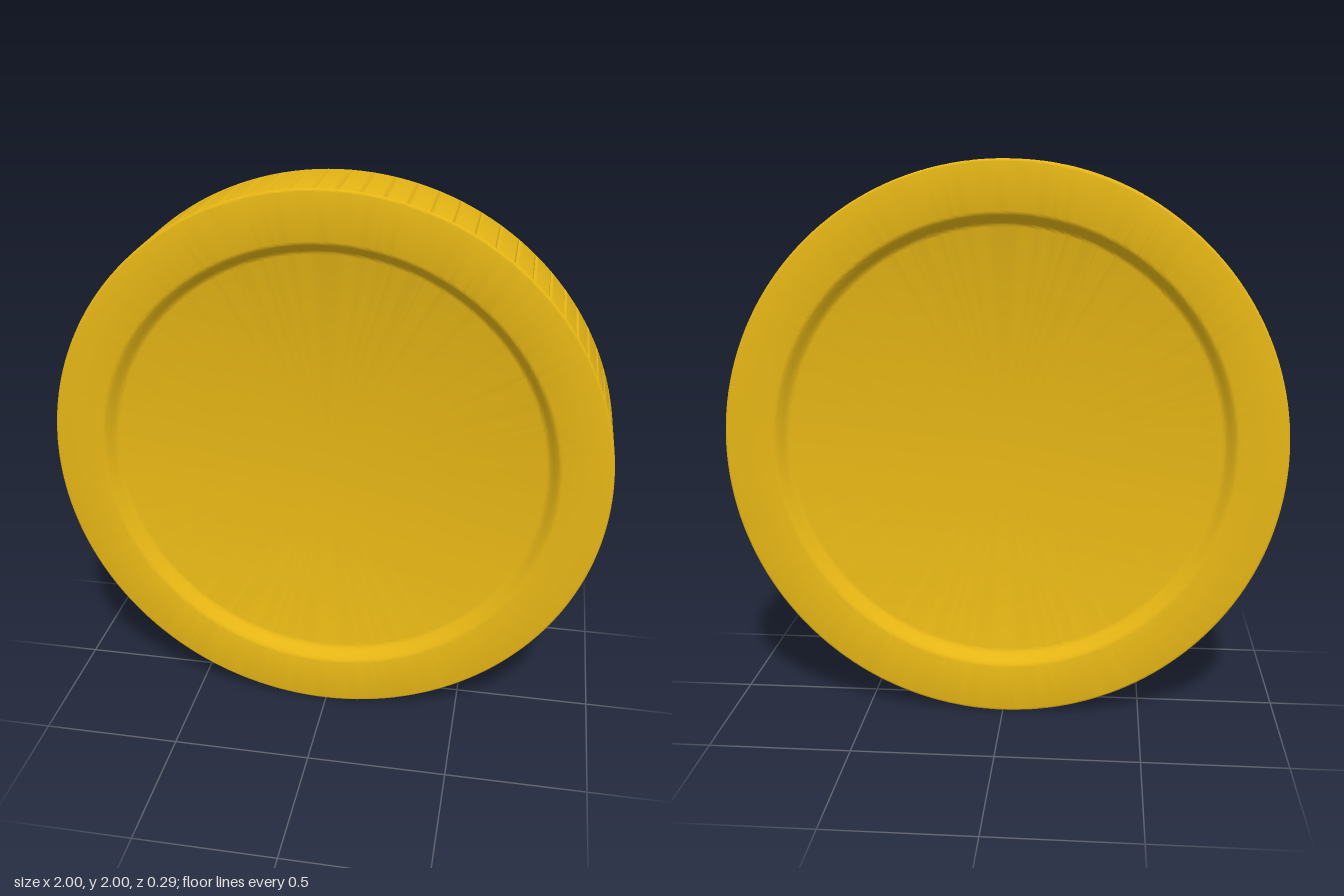
import * as THREE from 'three';
import { toCreasedNormals } from 'three/addons/utils/BufferGeometryUtils.js';

const HALF = 0.146; // half thickness
const ROUND = 0.009; // rounding of the outer corner
const REEDS = 80;
const GROOVE = { width: 0.1, depth: 0.005 }; // half width as a share of one reed

// Half profile from the reeded edge, over the rim, down into the dished face
function halfProfile() {
  const points = [];
  for (let i = 0; i <= 4; i++) {
    const a = (i / 4) * (Math.PI / 2);
    points.push([1 - ROUND + ROUND * Math.cos(a), HALF - ROUND + ROUND * Math.sin(a)]);
  }
  for (let i = 0; i <= 8; i++) {
    const t = i / 8;
    points.push([0.827 - 0.055 * t, HALF - 0.045 * THREE.MathUtils.smoothstep(t, 0, 1)]);
  }
  points.push([0, HALF - 0.045]);
  return points;
}

function coinGeometry() {
  const half = halfProfile();
  const front = half.map(([r, z]) => new THREE.Vector2(r, z));
  const back = half.map(([r, z]) => new THREE.Vector2(r, -z)).reverse();
  const profile = [...back, ...front];
  const lathe = new THREE.LatheGeometry(profile, REEDS * 4);

  // Four columns per reed: groove bottom, groove lip, reed centre, groove lip
  const offsets = [0, GROOVE.width, 0.5, 1 - GROOVE.width];
  const pos = lathe.attributes.position;
  for (let v = 0; v < pos.count; v++) {
    const column = Math.floor(v / profile.length);
    const point = v % profile.length;
    const angle = ((Math.floor(column / 4) + offsets[column % 4] + 0.5) / REEDS) * Math.PI * 2;
    const onEdge = point === back.length - 1 || point === back.length;
    const r = profile[point].x - (onEdge && column % 4 === 0 ? GROOVE.depth : 0);
    pos.setX(v, r * Math.sin(angle));
    pos.setZ(v, r * Math.cos(angle));
  }
  lathe.rotateX(Math.PI / 2);
  return toCreasedNormals(lathe, 0.5);
}

export function createModel() {
  const gold = new THREE.MeshStandardMaterial({ color: 0xe5b515 });
  const coin = new THREE.Group();
  coin.name = 'coin';
  const body = new THREE.Mesh(coinGeometry(), gold);
  body.name = 'coinBody';
  body.position.y = 1;
  coin.add(body);
  return coin;
}
